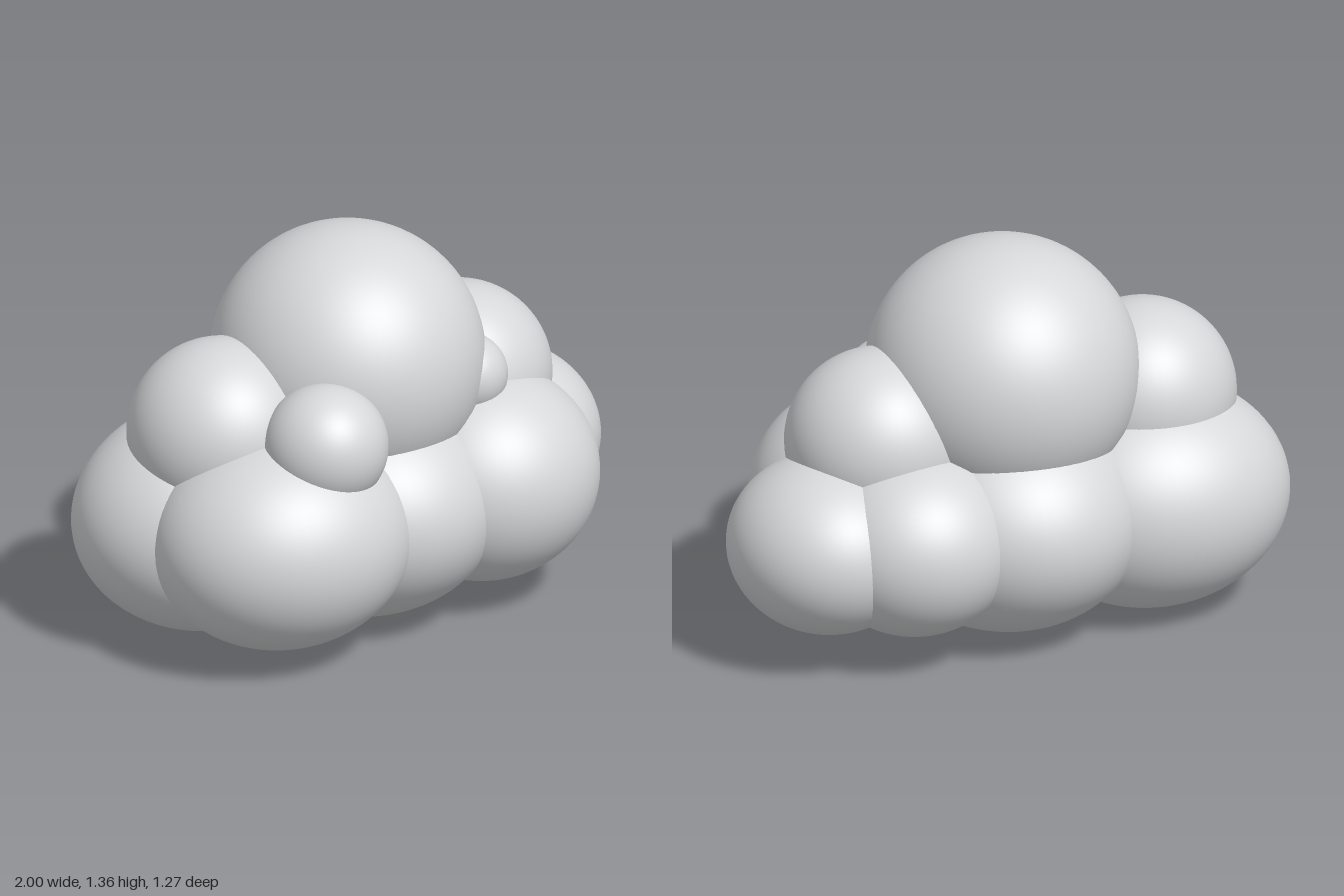
import * as THREE from 'three';

// Each puff: name, centre [x, y, z], radii [x, y, z]
const PUFFS = [
  ['crownPuff', [-0.02, 0.895, -0.05], [0.465, 0.465, 0.468]],
  ['upperRightPuff', [-0.525, 0.74, -0.045], [0.32, 0.32, 0.317]],
  ['upperLeftPuff', [0.435, 0.725, -0.08], [0.322, 0.315, 0.315]],
  ['smallFrontPuff', [-0.345, 0.78, 0.33], [0.212, 0.212, 0.212]],
  ['smallBridgePuff', [0.32, 0.83, 0.16], [0.14, 0.14, 0.14]],
  ['lowerFrontRightPuff', [-0.45, 0.43, 0.22], [0.458, 0.375, 0.412]],
  ['lowerBackRightPuff', [-0.52, 0.405, -0.13], [0.48, 0.39, 0.422]],
  ['lowerCentrePuff', [-0.01, 0.42, -0.05], [0.49, 0.42, 0.58]],
  ['lowerFrontLeftPuff', [0.4, 0.445, 0.13], [0.4, 0.368, 0.395]],
  ['lowerSidePuff', [0.66, 0.42, -0.18], [0.34, 0.302, 0.36]],
  ['lowerBackLeftPuff', [0.39, 0.43, -0.29], [0.35, 0.32, 0.35]],
];

export function createModel() {
  const cloud = new THREE.Group();
  cloud.name = 'cloud';

  const cloudGrey = new THREE.MeshStandardMaterial({ color: 0xd6d7d9 });
  cloudGrey.name = 'cloudGrey';

  // Overlapping smooth ellipsoids form the cloud
  const ball = new THREE.SphereGeometry(1, 64, 40);
  for (const [name, centre, radii] of PUFFS) {
    const puff = new THREE.Mesh(ball, cloudGrey);
    puff.name = name;
    puff.position.set(...centre);
    puff.scale.set(...radii);
    cloud.add(puff);
  }
  return cloud;
}
